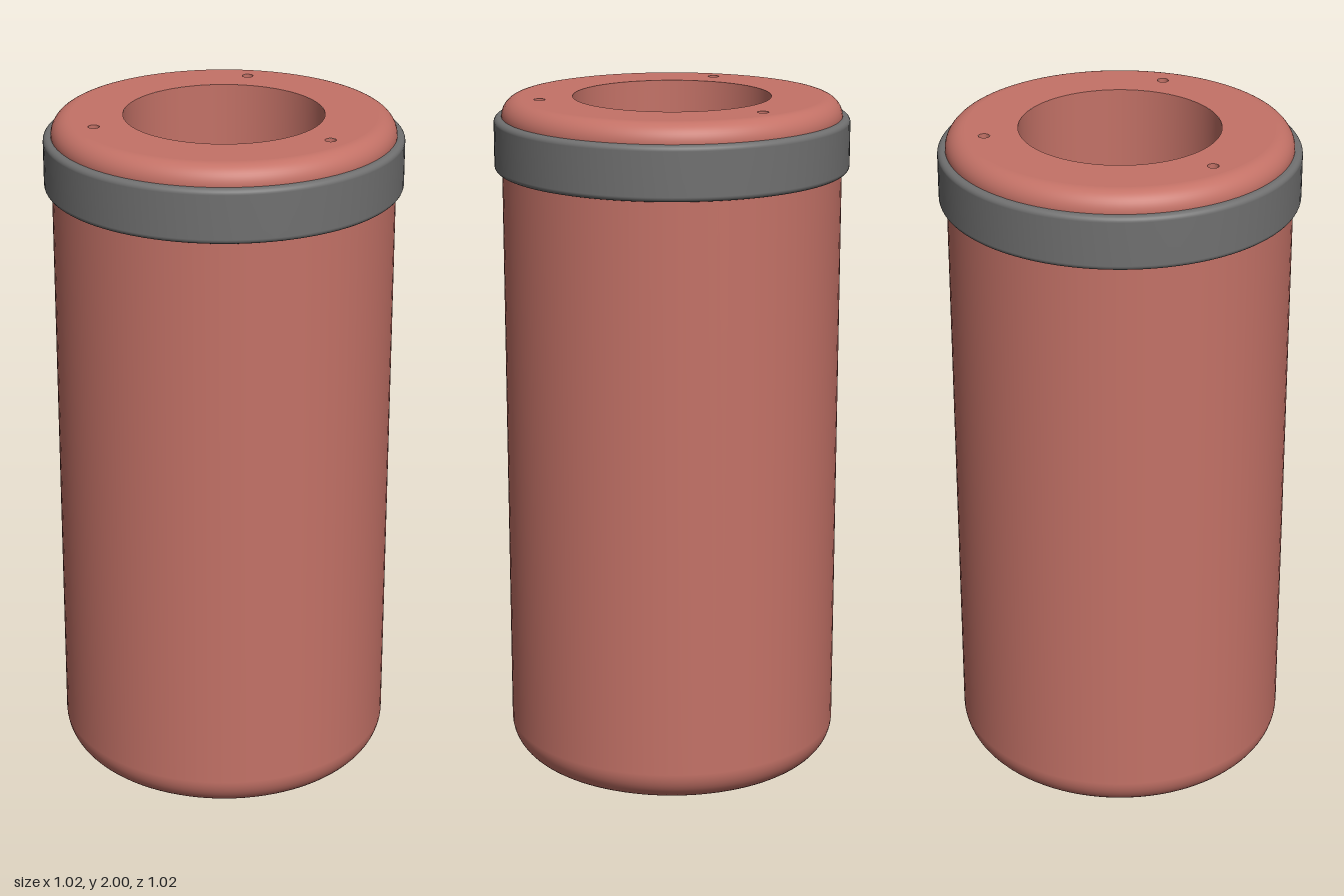
import * as THREE from 'three';

const SEG = 96;
const R = 0.49, H = 2;               // body radius and height
const LOW = 0.1, TOP = 0.055;        // edge roundings at the bottom and top
const BORE = 0.285, FLOOR = 0.2;     // central bore radius and floor height
const PIN = 0.016, PIN_RING = 0.383; // small through holes

// Quarter-round profile points about (cx, cy), angles in quarter turns
function arc(cx, cy, r, from, to, n = 12) {
  return Array.from({ length: n + 1 }, (_, i) => {
    const a = (from + (to - from) * i / n) * Math.PI / 2;
    return new THREE.Vector2(cx + r * Math.cos(a), cy + r * Math.sin(a));
  });
}

export function createModel() {
  const group = new THREE.Group();
  const red = new THREE.MeshStandardMaterial({ color: 0xc47267 });
  red.name = 'terracotta red';
  const grey = new THREE.MeshStandardMaterial({ color: 0x707070 });
  grey.name = 'dark grey';
  const inner = new THREE.MeshStandardMaterial({ color: 0xc47267, side: THREE.BackSide });
  inner.name = 'terracotta red inside';

  const add = (name, geometry, material, y = 0, x = 0, z = 0) => {
    const mesh = new THREE.Mesh(geometry, material);
    mesh.name = name;
    mesh.position.set(x, y, z);
    group.add(mesh);
    return mesh;
  };

  // Three hole centres, one at the front and two at the back
  const pins = [0, 1, 2].map((i) => {
    const a = i * Math.PI * 2 / 3;
    return [PIN_RING * Math.sin(a), PIN_RING * Math.cos(a)];
  });

  // Flat end face pierced by the small holes, and by the bore if given
  const endFace = (radius, up, bore) => {
    const shape = new THREE.Shape().absarc(0, 0, radius, 0, Math.PI * 2, false);
    const cut = (x, y, r) => shape.holes.push(new THREE.Path().absarc(x, y, r, 0, Math.PI * 2, true));
    pins.forEach(([x, z]) => cut(x, up ? -z : z, PIN));
    if (bore) cut(0, 0, bore);
    return new THREE.ShapeGeometry(shape, SEG).rotateX(up ? -Math.PI / 2 : Math.PI / 2);
  };

  // Outer wall with rounded ends
  add('outerWall', new THREE.LatheGeometry([
    ...arc(R - LOW, LOW, LOW, -1, 0),
    ...arc(R - TOP, H - TOP, TOP, 0, 1),
  ], SEG), red);
  add('topFace', endFace(R - TOP, true, BORE), red, H);
  add('bottomFace', endFace(R - LOW, false), red);

  // Central blind bore
  add('boreWall', new THREE.CylinderGeometry(BORE, BORE, H - FLOOR, SEG, 1, true), inner, (H + FLOOR) / 2);
  add('boreFloor', new THREE.CircleGeometry(BORE, SEG).rotateX(-Math.PI / 2), red, FLOOR);

  // Walls of the small through holes
  pins.forEach(([x, z]) =>
    add('pinHole', new THREE.CylinderGeometry(PIN, PIN, H, 24, 1, true), inner, H / 2, x, z));

  // Collar band with softened edges
  const c = 0.015, ro = 0.512, y0 = 1.79, y1 = 1.945;
  add('collarBand', new THREE.LatheGeometry([
    new THREE.Vector2(R - 0.005, y0),
    ...arc(ro - c, y0 + c, c, -1, 0, 6),
    ...arc(ro - c, y1 - c, c, 0, 1, 6),
    new THREE.Vector2(R - 0.005, y1),
  ], SEG), grey);

  return group;
}
